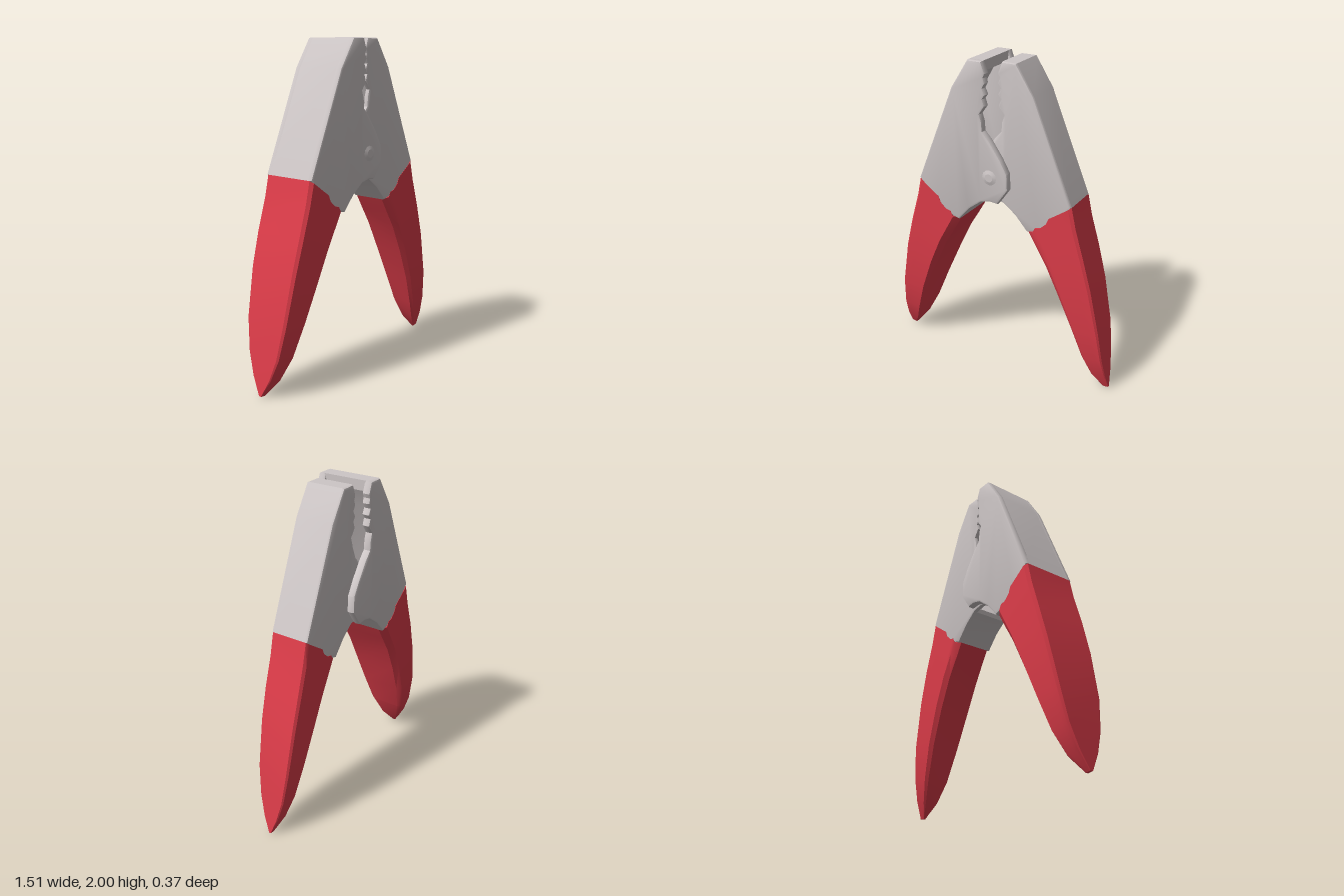
import * as THREE from 'three';
import { toCreasedNormals } from 'three/addons/utils/BufferGeometryUtils.js';

const steel = new THREE.MeshStandardMaterial({ color: 0xcdc6c6 });
steel.name = 'steel';
const grip = new THREE.MeshStandardMaterial({ color: 0xdc3c49 });
grip.name = 'red grip';

const ZC = -0.003; // body sits slightly behind centre because of the rivet head

// Outlines are drawn for the half whose handle is on +x and mirrored by sign s.
const PLATE = [
  [0.05, 2], [0.14, 2], [0.25, 1.83], [0.5, 1.23], [0.4, 1.1], [0.3, 1.03], [0.22, 1.01],
  [0.14, 1.1], [0.06, 1.16], [0, 1.175], [-0.05, 1.17], [-0.12, 1.27], [-0.115, 1.37],
  [-0.07, 1.45], [0, 1.55], [0.045, 1.6], [0.05, 1.66], [0.063, 1.7], [0.028, 1.75],
  [0.042, 1.79], [0.025, 1.815], [0.042, 1.85], [0.025, 1.88], [0.035, 1.91], [0.025, 1.935],
];
const SPINE = [
  [0.05, 2], [0.14, 2], [0.25, 1.83], [0.5, 1.23], [0.44, 1.18], [0.2, 1.8], [0.12, 1.94], [0.05, 1.94],
];
const WEB = [[0.22, 1.01], [0.14, 1.1], [0.06, 1.16], [0.06, 1.19], [0.13, 1.135], [0.24, 1.02]];

// Grip stations: outer x, y, inner x, y, relative width
const STATIONS = [
  [0.5, 1.23, 0.22, 1.01, 1], [0.53, 1.1, 0.27, 0.925, 1], [0.585, 0.92, 0.34, 0.81, 1],
  [0.64, 0.72, 0.425, 0.63, 0.96], [0.7, 0.43, 0.515, 0.42, 0.85], [0.725, 0.24, 0.59, 0.22, 0.66],
  [0.742, 0.11, 0.65, 0.09, 0.39], [0.755, 0.005, 0.72, 0, 0.05],
];
// Half cross-section: fraction from outer to inner edge, relative width, dip of the top rim
const SECTION = [
  [0, 0.9, 0], [0.06, 1, 0], [0.3, 1, -0.004], [0.48, 1, -0.008], [0.56, 1, 0.012],
  [0.7, 1, 0.016], [0.8, 1, 0.002], [0.88, 1, 0.016], [1, 0.8, 0],
];

function mesh(name, geometry, material) {
  const m = new THREE.Mesh(geometry, material);
  m.name = name;
  return m;
}

// Flat outline extruded from z0 to z1, with an optional edge rounding kept inside the outline
function slab(points, s, z0, z1, bevel = 0) {
  const shape = new THREE.Shape(points.map(([x, y]) => new THREE.Vector2(x * s, y)));
  const g = new THREE.ExtrudeGeometry(shape, {
    depth: z1 - z0 - 2 * bevel, bevelEnabled: bevel > 0, bevelThickness: bevel,
    bevelSize: bevel, bevelOffset: -bevel, bevelSegments: 2,
  });
  g.translate(0, 0, z0 + bevel);
  return toCreasedNormals(g, 0.5);
}

// Tapered grip lofted through the stations
function gripGeometry(s, halfWidth) {
  const loop = [
    ...SECTION, ...SECTION.slice().reverse().map(([u, w, d]) => [u, -w, d]),
  ];
  const n = loop.length, pos = [], index = [];
  const tri = (a, b, c) => (s < 0 ? index.push(a, b, c) : index.push(a, c, b));
  STATIONS.forEach(([ox, oy, ix, iy, k], i) => {
    for (const [u, w, d] of loop) {
      const dip = i === 0 ? d : 0;
      pos.push(s * (ox + (ix - ox) * u + dip * 0.4), oy + (iy - oy) * u - dip, w * k * halfWidth);
    }
  });
  for (let i = 0; i < STATIONS.length - 1; i++) {
    for (let j = 0; j < n; j++) {
      const a = i * n + j, b = i * n + (j + 1) % n;
      tri(a, a + n, b);
      tri(b, a + n, b + n);
    }
  }
  // end caps
  [0, STATIONS.length - 1].forEach((row, end) => {
    const [ox, oy, ix, iy] = STATIONS[row];
    const centre = pos.length / 3;
    pos.push(s * (ox + ix) / 2, (oy + iy) / 2, 0);
    for (let j = 0; j < n; j++) {
      const a = row * n + j, b = row * n + (j + 1) % n;
      if (end === 0) tri(centre, a, b);
      else tri(centre, b, a);
    }
  });
  const g = new THREE.BufferGeometry();
  g.setAttribute('position', new THREE.Float32BufferAttribute(pos, 3));
  g.setIndex(index);
  return toCreasedNormals(g, 0.6);
}

// One channel-shaped half: two toothed side plates, spine, inner web and grip
function half(name, s, outer, inner) {
  const group = new THREE.Group();
  group.name = name;
  const bevel = 0.014;
  const reach = outer - bevel;
  group.add(
    mesh('frontPlate', slab(PLATE, s, inner, outer, bevel), steel),
    mesh('backPlate', slab(PLATE, s, -outer, -inner, bevel), steel),
    mesh('spine', slab(SPINE, s, -reach, reach), steel),
    mesh('innerWeb', slab(WEB, s, -reach, reach), steel),
    mesh('grip', gripGeometry(s, outer + 0.002), grip),
  );
  group.position.z = ZC;
  return group;
}

export function createModel() {
  const model = new THREE.Group();
  model.name = 'springClamp';
  model.add(half('wideHalf', -1, 0.178, 0.127), half('narrowHalf', 1, 0.124, 0.09));

  // low rivet head on the front of the pivot
  const rivet = mesh('pivotRivet', new THREE.CylinderGeometry(0.025, 0.05, 0.008, 12), steel);
  rivet.rotation.x = Math.PI / 2;
  rivet.position.set(0, 1.33, 0.178);
  model.add(rivet);
  return model;
}
